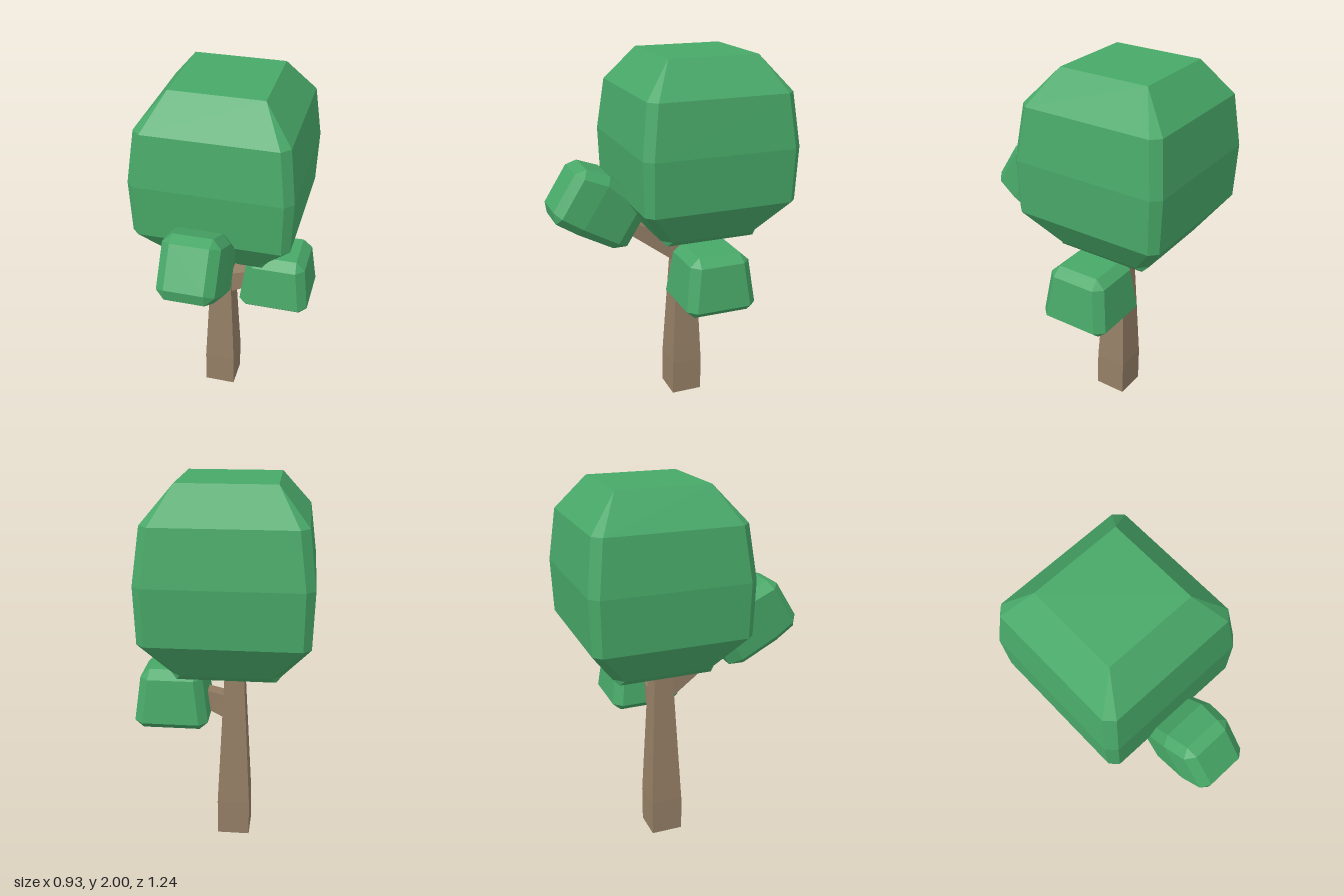
import * as THREE from 'three';

const leafMat = new THREE.MeshStandardMaterial({ color: 0x48a868, flatShading: true });
const barkMat = new THREE.MeshStandardMaterial({ color: 0x957f66, flatShading: true });

// Square ring with chamfered corners: counter-clockwise seen from above
function ring({ y, hx, hz = hx, c = 0, dx = 0, dz = 0 }) {
  const points = [];
  [[1, 1], [1, -1], [-1, -1], [-1, 1]].forEach(([sx, sz], i) => {
    const pair = [
      new THREE.Vector3(dx + sx * (hx - c), y, dz + sz * hz),
      new THREE.Vector3(dx + sx * hx, y, dz + sz * (hz - c)),
    ];
    points.push(...(i % 2 ? pair.reverse() : pair));
  });
  return points;
}

// Closed faceted solid through rings listed from bottom to top
function loft(name, material, sections) {
  const rings = sections.map(ring);
  const out = [];
  const tri = (a, b, c) => {
    if (new THREE.Triangle(a, b, c).getArea() > 1e-7) {
      for (const p of [a, b, c]) out.push(p.x, p.y, p.z);
    }
  };
  for (let r = 0; r < rings.length - 1; r++) {
    const lo = rings[r], hi = rings[r + 1];
    for (let i = 0; i < 8; i++) {
      const j = (i + 1) % 8;
      tri(lo[i], lo[j], hi[j]);
      tri(lo[i], hi[j], hi[i]);
    }
  }
  const bottom = rings[0], top = rings[rings.length - 1];
  for (let i = 1; i < 7; i++) {
    tri(bottom[0], bottom[i + 1], bottom[i]);
    tri(top[0], top[i], top[i + 1]);
  }
  const geometry = new THREE.BufferGeometry();
  geometry.setAttribute('position', new THREE.Float32BufferAttribute(out, 3));
  geometry.computeVertexNormals();
  const mesh = new THREE.Mesh(geometry, material);
  mesh.name = name;
  return mesh;
}

export function createModel() {
  const tree = new THREE.Group();
  tree.name = 'tree';

  // Tapered square trunk
  const trunk = loft('trunk', barkMat, [
    { y: 0, hx: 0.088 },
    { y: 0.2, hx: 0.088 },
    { y: 1.1, hx: 0.045 },
  ]);
  trunk.position.set(-0.053, 0, -0.137);

  // Branch rising towards the front
  const frontBranch = loft('frontBranch', barkMat, [
    { y: -0.12, hx: 0.05, hz: 0.085, dz: -0.885 },
    { y: 0.26, hx: 0.04, hz: 0.025, dz: -1.105 },
  ]);
  frontBranch.rotation.x = Math.PI / 2;
  frontBranch.position.x = -0.053;

  // Branch rising towards the left
  const leftBranch = loft('leftBranch', barkMat, [
    { y: -0.04, hx: 0.07, hz: 0.05, dx: -0.75 },
    { y: 0.22, hx: 0.04, hz: 0.035, dx: -0.85 },
  ]);
  leftBranch.rotation.z = -Math.PI / 2;
  leftBranch.position.z = -0.137;

  // Large main crown
  const crown = loft('crown', leafMat, [
    { y: 1.025, hx: 0.25 },
    { y: 1.055, hx: 0.28, c: 0.05 },
    { y: 1.25, hx: 0.42, c: 0.04 },
    { y: 1.54, hx: 0.43, c: 0.045 },
    { y: 1.82, hx: 0.395, c: 0.045 },
    { y: 2, hx: 0.245 },
  ]);
  crown.position.set(-0.035, 0, -0.19);

  // Small leaf clump on the left branch
  const leftLeaves = loft('leftLeaves', leafMat, [
    { y: 0.69, hx: 0.15 },
    { y: 0.73, hx: 0.195, c: 0.045 },
    { y: 0.965, hx: 0.165, c: 0.045 },
    { y: 1.01, hx: 0.115 },
  ]);
  leftLeaves.position.set(0.27, 0, -0.165);

  // Tilted leaf clump on the front branch
  const frontLeaves = loft('frontLeaves', leafMat, [
    { y: -0.46, hx: 0.1, hz: 0.107 },
    { y: -0.39, hx: 0.15, hz: 0.147, c: 0.04 },
    { y: -0.17, hx: 0.163, hz: 0.175, c: 0.045, dz: -0.014 },
    { y: -0.042, hx: 0.148, hz: 0.163, c: 0.045 },
    { y: 0, hx: 0.1, hz: 0.114 },
  ]);
  frontLeaves.rotation.x = 1.01;
  frontLeaves.position.set(-0.052, 1.325, 0.56);

  tree.add(trunk, frontBranch, leftBranch, crown, leftLeaves, frontLeaves);
  return tree;
}
